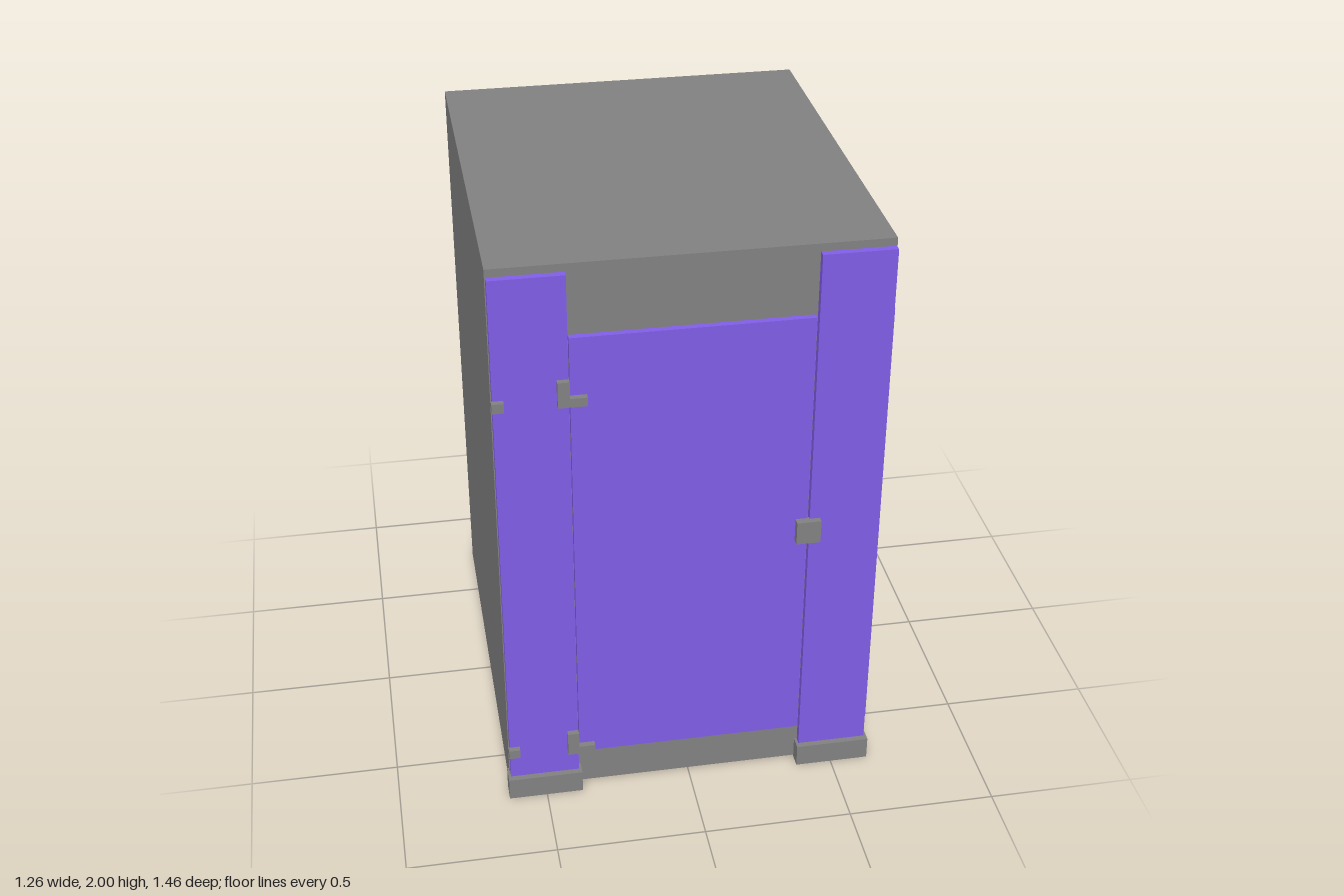
import * as THREE from 'three';

const grey = new THREE.MeshStandardMaterial({ color: 0x828282 });
const purple = new THREE.MeshStandardMaterial({ color: 0x815ee8 });

// Box given by its extents along each axis
function block(name, [x0, x1], [y0, y1], [z0, z1], material = grey) {
  const mesh = new THREE.Mesh(new THREE.BoxGeometry(x1 - x0, y1 - y0, z1 - z0), material);
  mesh.name = name;
  mesh.position.set((x0 + x1) / 2, (y0 + y1) / 2, (z0 + z1) / 2);
  return mesh;
}

// L-shaped hinge: upright leaf on the pilaster, arm reaching over the door
function hinge(y) {
  const shape = new THREE.Shape();
  [[0, 0], [0.092, 0], [0.092, 0.03], [0.038, 0.03], [0.038, 0.088], [0, 0.088]]
    .forEach(([px, py], i) => (i ? shape.lineTo(px, py) : shape.moveTo(px, py)));
  const geometry = new THREE.ExtrudeGeometry(shape, { depth: 0.021, bevelEnabled: false });
  const mesh = new THREE.Mesh(geometry, grey);
  mesh.name = 'doorHinge';
  mesh.position.set(-0.423, y, 0.708);
  return mesh;
}

export function createModel() {
  const model = new THREE.Group();
  model.name = 'cubicle';

  // Enclosed volume behind the partitions
  model.add(block('cubicleBody', [-0.623, 0.623], [0.008, 2], [-0.73, 0.682]));

  // Side partition and door
  model.add(block('sidePanel', [0.615, 0.629], [0.157, 1.762], [-0.72, 0.685], purple));
  model.add(block('door', [-0.382, 0.38], [0.157, 1.762], [0.675, 0.704], purple));

  // Pilasters standing in floor shoes
  for (const side of [-1, 1]) {
    const pilaster = block('pilaster', [-0.117, 0.117], [0, 1.975], [0.685, 0.709], purple);
    const shoe = block('pilasterShoe', [-0.126, 0.126], [0.003, 0.083], [0.664, 0.73]);
    pilaster.position.x = side * 0.503;
    shoe.position.x = side * 0.503;
    model.add(pilaster, shoe);
  }

  // Hinges and the wall brackets level with them
  for (const y of [0.167, 1.537]) {
    model.add(hinge(y));
    const base = y < 1 ? 0.178 : y;
    model.add(block('wallBracket', [-0.624, -0.586], [base, base + 0.033], [0.708, 0.729]));
  }

  // Latch bridging the door and the left pilaster
  model.add(block('latch', [0.34, 0.42], [0.946, 1.028], [0.7, 0.73]));

  return model;
}
